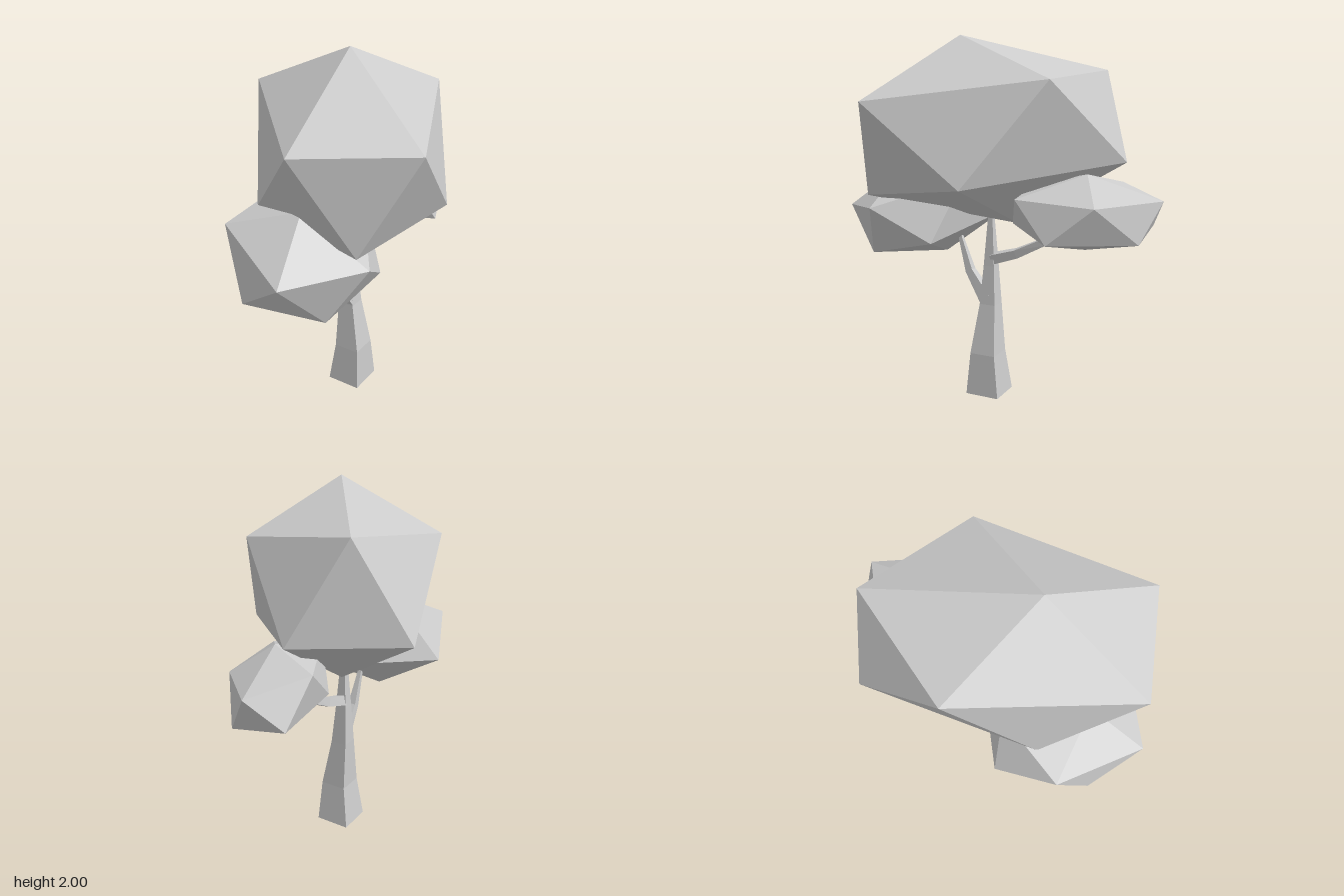
import * as THREE from 'three';
import { ConvexGeometry } from 'three/addons/geometries/ConvexGeometry.js';

const wood = new THREE.MeshStandardMaterial({ color: 0xcccccc, flatShading: true });
const foliage = new THREE.MeshStandardMaterial({ color: 0xcccccc, flatShading: true });

// Four-sided tapering limb through rings of [x, y, z, radius], capped at both ends
function limb(name, rings, level = false) {
  const sides = 4, twist = Math.PI / 3;
  const centres = rings.map(([x, y, z]) => new THREE.Vector3(x, y, z));
  const positions = [], index = [];
  rings.forEach((ring, i) => {
    const t = level
      ? new THREE.Vector3(0, 1, 0)
      : centres[Math.min(i + 1, rings.length - 1)].clone().sub(centres[Math.max(i - 1, 0)]).normalize();
    const u = new THREE.Vector3(0, 0, 1).addScaledVector(t, -t.z).normalize();
    const v = t.clone().cross(u);
    for (let k = 0; k < sides; k++) {
      const a = twist + (k * Math.PI * 2) / sides;
      const p = centres[i].clone()
        .addScaledVector(u, ring[3] * Math.cos(a))
        .addScaledVector(v, ring[3] * Math.sin(a));
      positions.push(p.x, p.y, p.z);
    }
  });
  for (let i = 0; i < rings.length - 1; i++) {
    for (let k = 0; k < sides; k++) {
      const a = i * sides + k, b = i * sides + ((k + 1) % sides);
      index.push(a, b, b + sides, a, b + sides, a + sides);
    }
  }
  const e = (rings.length - 1) * sides;
  index.push(0, 2, 1, 0, 3, 2, e, e + 1, e + 2, e, e + 2, e + 3);
  const indexed = new THREE.BufferGeometry();
  indexed.setAttribute('position', new THREE.Float32BufferAttribute(positions, 3));
  indexed.setIndex(index);
  const geometry = indexed.toNonIndexed();
  geometry.computeVertexNormals();
  const mesh = new THREE.Mesh(geometry, wood);
  mesh.name = name;
  return mesh;
}

// Skewed twenty-faced clump: six corners, each with a partner mirrored through the centre
function clump(name, centre, corners) {
  const c = new THREE.Vector3(...centre);
  const points = corners.flatMap((corner) => {
    const p = new THREE.Vector3(...corner);
    return [p, c.clone().multiplyScalar(2).sub(p)];
  });
  const mesh = new THREE.Mesh(new ConvexGeometry(points), foliage);
  mesh.name = name;
  return mesh;
}

export function createModel() {
  const tree = new THREE.Group();
  tree.name = 'tree';

  // Trunk and its two side branches
  tree.add(
    limb('trunk', [
      [-0.07, 0, 0, 0.139],
      [-0.07, 0.24, 0.012, 0.105],
      [-0.07, 0.52, -0.013, 0.066],
      [-0.07, 0.74, -0.018, 0.045],
      [-0.07, 1.1, -0.02, 0.012],
    ], true),
    limb('rightBranch', [
      [-0.08, 0.54, 0, 0.05],
      [-0.19, 0.7, 0.025, 0.031],
      [-0.25, 0.88, 0.035, 0.016],
      [-0.27, 0.95, 0.04, 0.012],
    ]),
    limb('leftBranch', [
      [-0.06, 0.78, -0.02, 0.04],
      [0.09, 0.825, -0.05, 0.034],
      [0.25, 0.905, -0.1, 0.028],
      [0.34, 1.0, -0.13, 0.015],
    ]),
  );

  // Foliage
  tree.add(
    clump('mainCrown', [-0.065, 1.49, -0.002], [
      [-0.17, 2.0, 0.115],
      [-0.73, 1.645, 0.33],
      [-0.285, 1.645, 0.71],
      [0.44, 1.75, 0.135],
      [0.36, 1.825, -0.51],
      [-0.285, 1.76, -0.48],
    ]),
    clump('leftCrown', [0.48, 1.08, -0.14], [
      [0.49, 1.28, -0.13],
      [0.26, 1.16, 0.18],
      [0.645, 1.13, 0.04],
      [0.825, 1.15, -0.32],
      [0.52, 1.22, -0.44],
      [0.18, 1.22, -0.12],
    ]),
    clump('rightCrown', [-0.47, 1.045, 0.1], [
      [-0.55, 1.3, 0.19],
      [-0.44, 1.09, 0.54],
      [-0.83, 1.06, 0.36],
      [-0.76, 1.19, -0.145],
      [-0.35, 1.28, -0.2],
      [-0.12, 1.24, 0.15],
    ]),
  );
  return tree;
}
